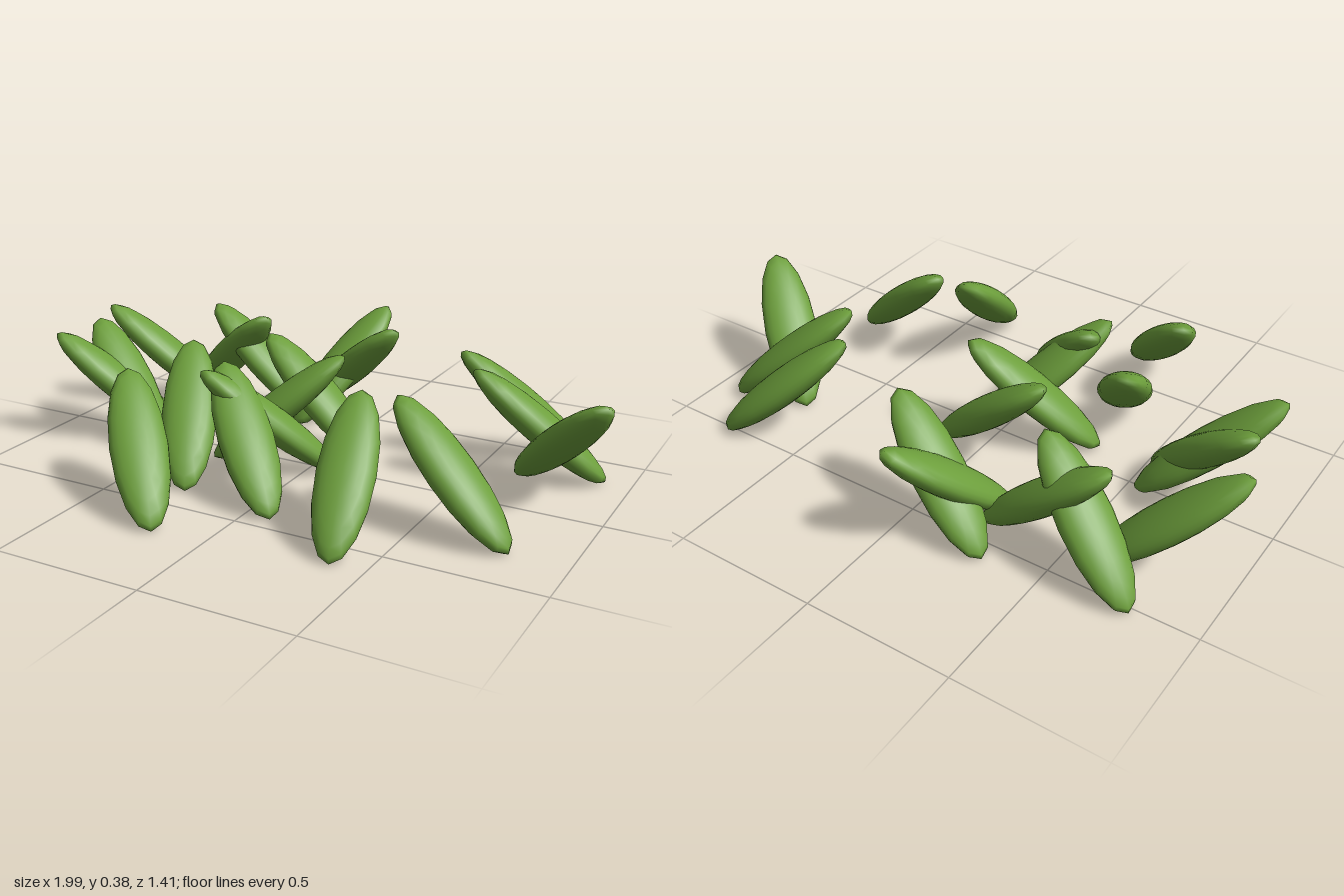
import * as THREE from 'three';

// Each leaf: centre x, centre z, then the ground direction (dx, dz) its low end points to
const LEAVES = [
  [-0.79, -0.305, 0.40, -0.17],
  [-0.585, -0.435, -0.40, -0.18],
  [-0.43, -0.415, 0.45, 0.02],
  [-0.105, -0.495, -0.40, -0.15],
  [-0.15, -0.505, -0.17, 0.38],
  [-0.055, -0.15, 0.45, 0.06],
  [-0.125, 0.015, -0.40, 0.18],
  [-0.085, 0.14, 0.31, -0.27],
  [-0.075, 0.305, 0.33, 0.28],
  [-0.36, 0.20, 0.20, 0.37],
  [-0.325, 0.53, 0.29, 0.31],
  [-0.72, 0.045, 0.40, 0.20],
  [-0.73, 0.075, 0.41, -0.20],
  [0.595, -0.41, 0.39, -0.20],
  [0.71, -0.235, 0.41, -0.18],
  [0.815, -0.13, -0.30, -0.24],
  [0.605, 0.255, 0.42, 0.13],
  [0.335, 0.41, 0.11, 0.42],
];

export function createModel() {
  const model = new THREE.Group();
  model.name = 'leafScatter';
  const green = new THREE.MeshStandardMaterial({ color: 0x6d9f3c });
  green.name = 'leafGreen';

  // One flattened, elongated leaf body, tilted so its +x end is low
  const leaf = new THREE.SphereGeometry(1, 16, 12);
  leaf.scale(0.29, 0.055, 0.092);
  leaf.rotateZ(-0.7);
  leaf.computeBoundingBox();
  leaf.translate(0, -leaf.boundingBox.min.y, 0);

  LEAVES.forEach(([x, z, dx, dz], i) => {
    const mesh = new THREE.Mesh(leaf, green);
    mesh.name = `leaf${i + 1}`;
    mesh.position.set(x, 0, z);
    mesh.rotation.y = Math.atan2(-dz, dx);
    model.add(mesh);
  });
  return model;
}
